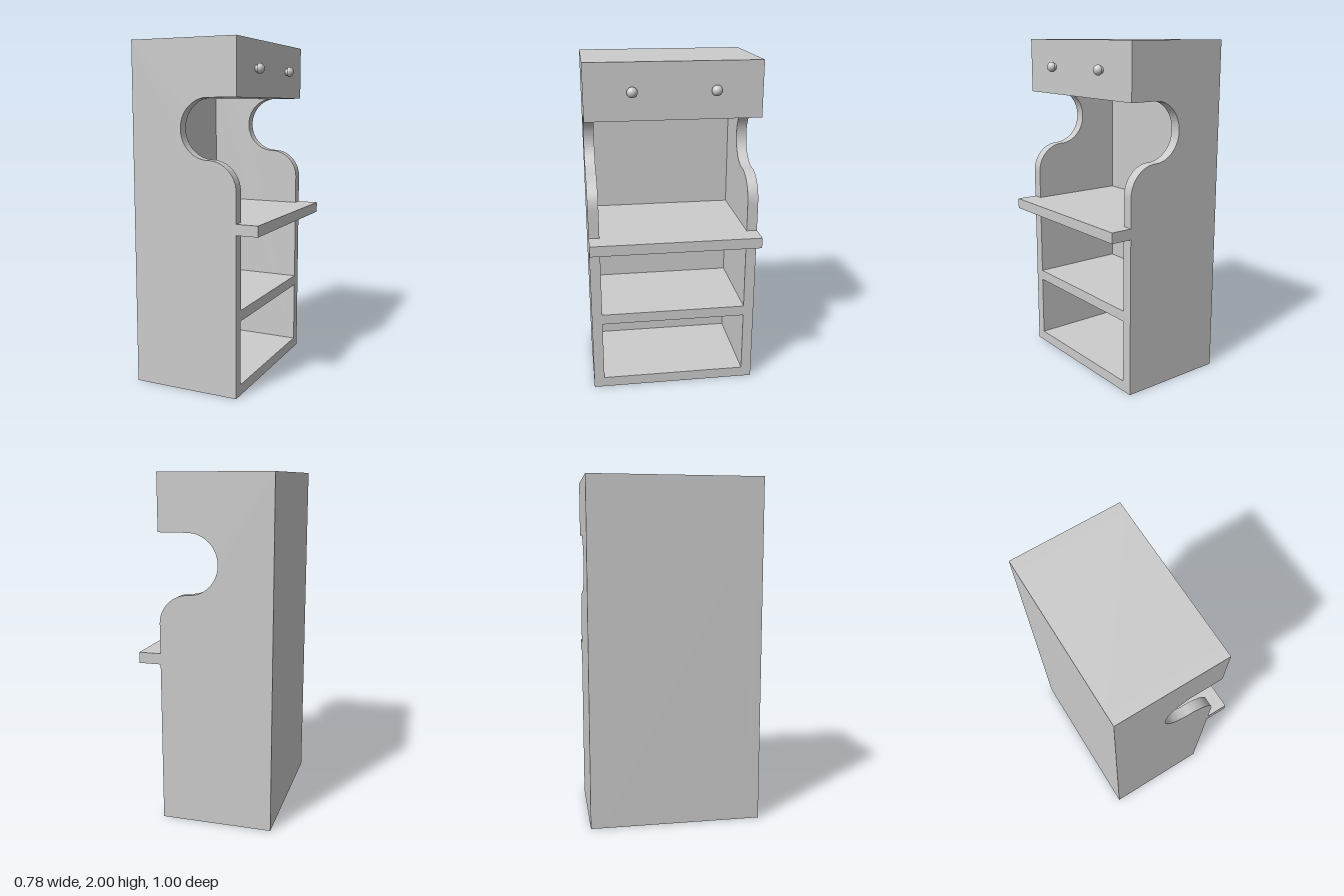
import * as THREE from 'three';

const BACK = -0.388, FRONT = 0.26, LIP = 0.388; // depth runs along x
const HALF = 0.5, T = 0.0625, INNER = HALF - T;  // width runs along z

export function createModel() {
  const group = new THREE.Group();
  group.name = 'hutchCabinet';
  const mat = new THREE.MeshStandardMaterial({ color: 0xcccccc });

  const add = (name, geo, x = 0, y = 0, z = 0) => {
    const mesh = new THREE.Mesh(geo, mat);
    mesh.name = name;
    mesh.position.set(x, y, z);
    group.add(mesh);
    return mesh;
  };
  // Board fitted between the two side panels
  const board = (name, x0, x1, y0, y1) =>
    add(name, new THREE.BoxGeometry(x1 - x0, y1 - y0, INNER * 2), (x0 + x1) / 2, (y0 + y1) / 2, 0);

  // Side panels with the S-shaped scoop in the front edge
  const r = 0.17, cx = FRONT - r;
  const side = new THREE.Shape();
  side.moveTo(BACK, 0);
  side.lineTo(FRONT, 0);
  side.lineTo(FRONT, 1.17);
  side.absarc(cx, 1.17, r, 0, Math.PI / 2, false);
  side.absarc(cx, 1.51, r, Math.PI * 1.5, Math.PI / 2, true);
  side.lineTo(FRONT, 1.68);
  side.lineTo(FRONT, 2);
  side.lineTo(BACK, 2);
  side.closePath();
  const sideGeo = new THREE.ExtrudeGeometry(side, { depth: T, bevelEnabled: false, curveSegments: 16 });
  add('leftEndPanel', sideGeo, 0, 0, INNER);
  add('rightEndPanel', sideGeo, 0, 0, -HALF);

  // Back, top block and lower shelves
  board('backPanel', BACK, BACK + T, 0, 1.68);
  board('topCabinet', BACK, FRONT, 1.68, 2);
  board('bottomBoard', BACK + T, FRONT, 0, 0.0625);
  board('middleShelf', BACK + T, FRONT, 0.4375, 0.5);

  // Worktop: narrow between the sides, full width where it projects
  const top = new THREE.Shape([
    [BACK + T, -INNER], [FRONT, -INNER], [FRONT, -HALF], [LIP, -HALF],
    [LIP, HALF], [FRONT, HALF], [FRONT, INNER], [BACK + T, INNER],
  ].map(([x, y]) => new THREE.Vector2(x, y)));
  const topGeo = new THREE.ExtrudeGeometry(top, { depth: 0.0625, bevelEnabled: false });
  topGeo.rotateX(-Math.PI / 2);
  add('worktop', topGeo, 0, 0.9375, 0);

  // Round knobs: short neck and domed head
  const neckGeo = new THREE.CylinderGeometry(0.022, 0.02, 0.02, 24, 1, true).rotateZ(-Math.PI / 2);
  const headPts = [new THREE.Vector2(0, 0), new THREE.Vector2(0.0305, 0)];
  const headGeo = new THREE.SphereGeometry(0.0305, 24, 10, 0, Math.PI * 2, 0, Math.PI / 2).rotateZ(-Math.PI / 2);
  const discGeo = new THREE.LatheGeometry(headPts, 24).rotateZ(-Math.PI / 2);
  for (const z of [0.234, -0.234]) {
    add('knobNeck', neckGeo, FRONT + 0.009, 1.84, z);
    add('knobHead', headGeo, FRONT + 0.018, 1.84, z);
    add('knobUnderside', discGeo, FRONT + 0.018, 1.84, z);
  }
  return group;
}
